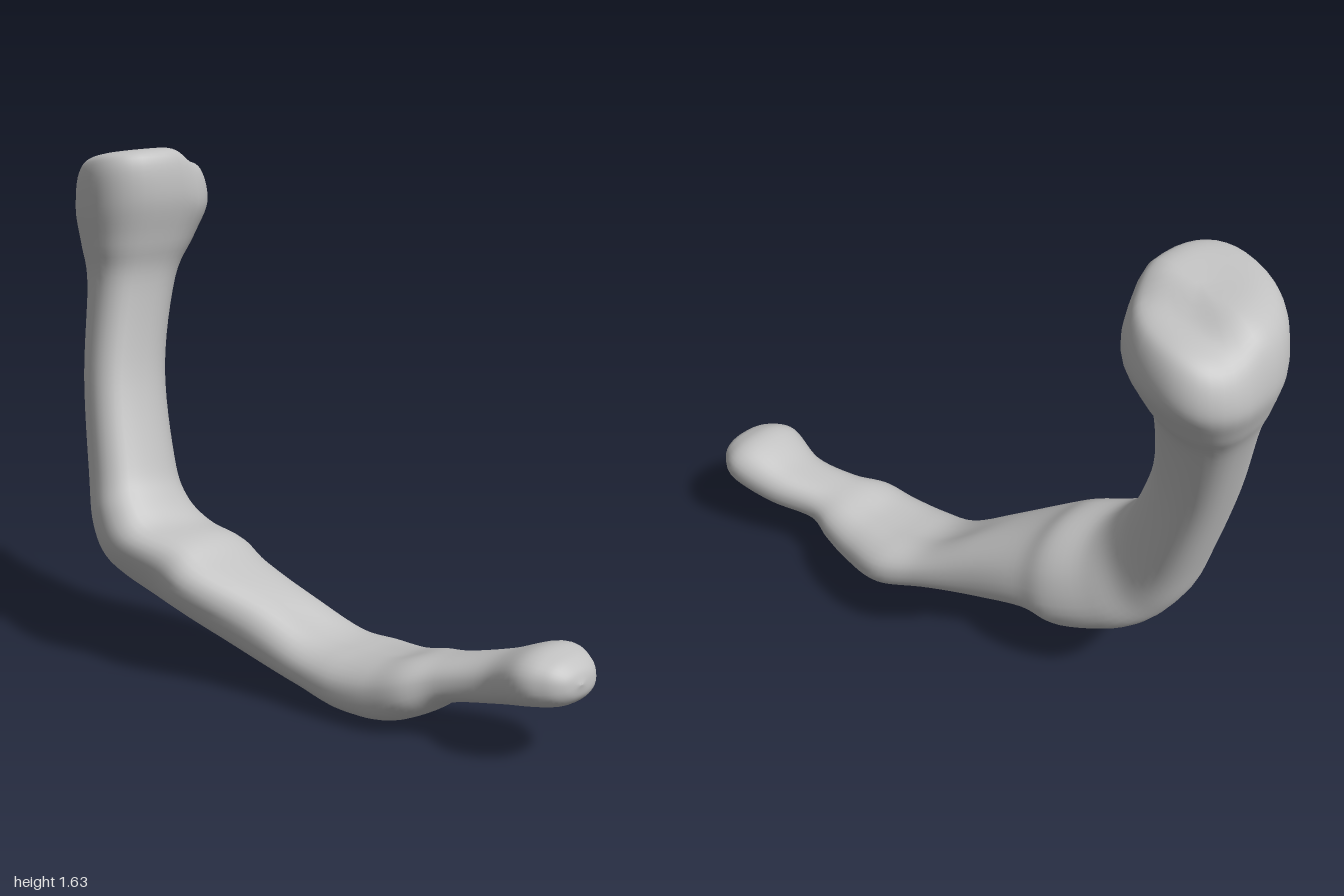
import * as THREE from 'three';

// Cross-sections from the knobbed head, down the shaft, round the bend and out to the tip:
// outer x, outer y, inner x, inner y, back z, front z
const SECTIONS = [
  [-0.76, 1.61, -0.74, 1.615, -0.05, -0.03],
  [-0.89, 1.59, -0.64, 1.632, -0.20, 0.13],
  [-0.97, 1.53, -0.59, 1.60, -0.265, 0.18],
  [-1.00, 1.41, -0.575, 1.48, -0.285, 0.19],
  [-0.975, 1.30, -0.60, 1.34, -0.235, 0.18],
  [-0.93, 1.18, -0.62, 1.20, -0.155, 0.178],
  [-0.845, 0.88, -0.58, 0.92, -0.065, 0.25],
  [-0.75, 0.57, -0.48, 0.65, -0.025, 0.31],
  [-0.685, 0.385, -0.42, 0.555, -0.03, 0.345],
  [-0.59, 0.27, -0.35, 0.485, -0.075, 0.347],
  [-0.40, 0.18, -0.24, 0.45, -0.12, 0.295],
  [-0.25, 0.16, -0.15, 0.39, -0.12, 0.275],
  [-0.05, 0.09, 0.02, 0.30, -0.145, 0.18],
  [0.15, 0.04, 0.17, 0.215, -0.20, 0.125],
  [0.30, 0.005, 0.29, 0.20, -0.26, 0.105],
  [0.44, 0.01, 0.41, 0.21, -0.26, 0.075],
  [0.54, 0.055, 0.51, 0.235, -0.258, 0.04],
  [0.62, 0.11, 0.60, 0.25, -0.252, -0.03],
  [0.76, 0.14, 0.73, 0.285, -0.315, -0.08],
  [0.89, 0.175, 0.86, 0.343, -0.355, -0.07],
  [0.96, 0.195, 0.935, 0.335, -0.33, -0.105],
  [0.992, 0.225, 0.98, 0.305, -0.285, -0.15],
  [1.00, 0.264, 1.00, 0.268, -0.215, -0.205],
];
const SIDES = 36, STEPS = 132;
const { smoothstep } = THREE.MathUtils;

// rounded-box power curve for the cross-section outline
const soft = (v) => Math.sign(v) * Math.pow(Math.abs(v), 0.86);

function loftBone() {
  const curve = (f) => new THREE.CatmullRomCurve3(SECTIONS.map(f), false, 'catmullrom', 0.5);
  const outer = curve((s) => new THREE.Vector3(s[0], s[1], s[4]));
  const inner = curve((s) => new THREE.Vector3(s[2], s[3], s[5]));
  const pos = [], index = [];
  for (let i = 0; i <= STEPS; i++) {
    const o = outer.getPoint(i / STEPS), n = inner.getPoint(i / STEPS);
    const c = o.clone().add(n).multiplyScalar(0.5);
    const half = n.clone().sub(o).multiplyScalar(0.5);
    // the shaft is twisted, its inner side further forward; the twist eases at the head and along the arm
    const twist = 0.27 - 0.1 * smoothstep(c.y, 1.15, 1.45) - 0.27 * smoothstep(c.x, -0.3, 0.15);
    const skew = half.z * twist;
    const depth = Math.sqrt(half.z * half.z - skew * skew);
    // shallow hollow along the upper face of the lower arm
    const hollow = 0.14 * smoothstep(c.x, -0.1, 0.15) * (1 - smoothstep(c.x, 0.4, 0.6));
    for (let j = 0; j < SIDES; j++) {
      const a = (j / SIDES) * Math.PI * 2;
      const v = soft(Math.sin(a));
      let u = soft(Math.cos(a));
      if (u > 0) u *= 1 - hollow * Math.exp(-v * v * 8);
      const z = c.z + depth * v + skew * u;
      const y = c.y + half.y * u;
      // the back lobe of the head sits lower
      const drop = 0.045 * smoothstep(y, 1.3, 1.6) * smoothstep(-z, 0.05, 0.16);
      pos.push(c.x + half.x * u, y - drop, z);
    }
  }
  for (let i = 0; i < STEPS; i++) {
    for (let j = 0; j < SIDES; j++) {
      const a = i * SIDES + j, b = i * SIDES + ((j + 1) % SIDES);
      index.push(a, b, a + SIDES, b, b + SIDES, a + SIDES);
    }
  }
  // close both ends
  const last = STEPS * SIDES;
  for (let j = 1; j < SIDES - 1; j++) {
    index.push(0, j + 1, j, last, last + j, last + j + 1);
  }
  const g = new THREE.BufferGeometry();
  g.setAttribute('position', new THREE.Float32BufferAttribute(pos, 3));
  g.setIndex(index);
  g.computeVertexNormals();
  return g;
}

export function createModel() {
  const grey = new THREE.MeshStandardMaterial({ color: 0xc0c0c0 });
  grey.name = 'boneGrey';
  const bone = new THREE.Mesh(loftBone(), grey);
  bone.name = 'bentBone';
  const group = new THREE.Group();
  group.name = 'bone';
  group.add(bone);
  return group;
}
